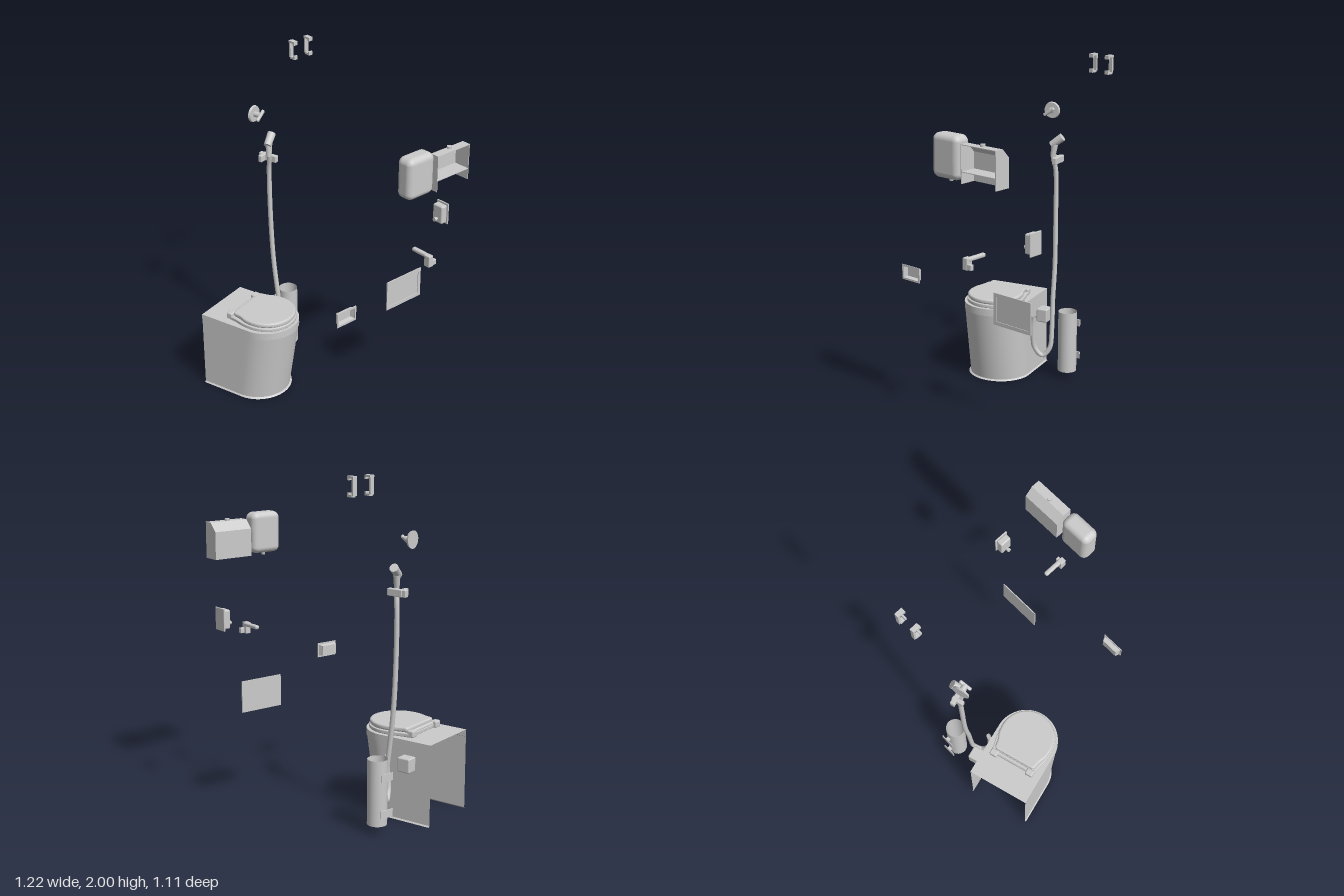
import * as THREE from 'three';
import { RoundedBoxGeometry } from 'three/addons/geometries/RoundedBoxGeometry.js';

const V = (x, y, z) => new THREE.Vector3(x, y, z);
const smooth = new THREE.MeshStandardMaterial({ color: 0xcccccc, side: THREE.DoubleSide });
const flat = new THREE.MeshStandardMaterial({ color: 0xcccccc, side: THREE.DoubleSide, flatShading: true });
const TILT = 0.27; // heading of the toilet and the wall behind it

function add(parent, name, geo, x = 0, y = 0, z = 0, mat = smooth, ry = 0) {
  const m = new THREE.Mesh(geo, mat);
  m.name = name;
  m.position.set(x, y, z);
  m.rotation.y = ry;
  parent.add(m);
  return m;
}
function part(parent, name) {
  const g = new THREE.Group();
  g.name = name;
  parent.add(g);
  return g;
}
// Box given by its limits
function box(parent, name, x0, x1, y0, y1, z0, z1, r = 0) {
  const s = [x1 - x0, y1 - y0, z1 - z0];
  const geo = r ? new RoundedBoxGeometry(...s, 4, r) : new THREE.BoxGeometry(...s);
  return add(parent, name, geo, (x0 + x1) / 2, (y0 + y1) / 2, (z0 + z1) / 2);
}
// Round bar between two points
function rod(parent, name, a, b, r0, r1 = r0, open = false) {
  const d = b.clone().sub(a);
  const m = add(parent, name, new THREE.CylinderGeometry(r1, r0, d.length(), 28, 1, open));
  m.position.copy(a).addScaledVector(d, 0.5);
  m.quaternion.setFromUnitVectors(V(0, 1, 0), d.normalize());
  return m;
}
// U-shaped plan: straight sides, round front at length L, half width w
function uPoint(t, L, w, a = 0.19) {
  if (t < 0.2) return [(L - a) * t / 0.2, -w];
  if (t > 0.8) return [(L - a) * (1 - t) / 0.2, w];
  const k = (t - 0.5) / 0.6 * Math.PI;
  return [L - a + a * Math.cos(k), w * Math.sin(k)];
}
// Sheet between two U plans, each [y, L, w]
function uBand(lo, hi) {
  const geo = new THREE.PlaneGeometry(1, 1, 60, 1);
  const p = geo.attributes.position;
  for (let i = 0; i < p.count; i++) {
    const [y, L, w] = p.getY(i) > 0 ? hi : lo;
    const [u, v] = uPoint(p.getX(i) + 0.5, L, w);
    p.setXYZ(i, u, y, v);
  }
  geo.computeVertexNormals();
  return geo;
}
// Seat outline: narrow back at u0, widest ahead of the middle, round front at u1
function seatShape(u0, u1, wb, w) {
  const s = new THREE.Shape(), c = 0.025, m = u1 - w;
  s.moveTo(u0 + c, -wb);
  s.bezierCurveTo(u0 + 0.09, -wb - 0.01, m - 0.08, -w, m, -w);
  s.absellipse(m, 0, w, w, -Math.PI / 2, Math.PI / 2, false);
  s.bezierCurveTo(m - 0.08, w, u0 + 0.09, wb + 0.01, u0 + c, wb);
  s.quadraticCurveTo(u0, wb, u0, wb - c);
  s.lineTo(u0, -wb + c);
  s.quadraticCurveTo(u0, -wb, u0 + c, -wb);
  return s;
}
function slab(shape, h, bevel) {
  const geo = new THREE.ExtrudeGeometry(shape, {
    depth: h - 2 * bevel, bevelThickness: bevel, bevelSize: bevel, bevelOffset: -bevel, bevelSegments: 4, curveSegments: 32,
  });
  return geo.rotateX(-Math.PI / 2).translate(0, bevel, 0);
}
const poly = (pts) => new THREE.Shape(pts.map(([x, y]) => new THREE.Vector2(x, y)));
// Flat rectangular frame facing +x
function frameGeo(w, h, iw, ih, t) {
  const rect = (a, b) => [[-a / 2, -b / 2], [a / 2, -b / 2], [a / 2, b / 2], [-a / 2, b / 2]];
  const s = poly(rect(w, h));
  s.holes.push(poly(rect(iw, ih)));
  return new THREE.ExtrudeGeometry(s, { depth: t, bevelEnabled: false }).rotateY(Math.PI / 2);
}

function buildToilet(root) {
  const g = part(root, 'toilet');
  g.position.set(-0.561, 0, 0.368);
  g.rotation.y = TILT;
  add(g, 'pedestalSkirt', uBand([0.008, 0.455, 0.188], [0.44, 0.525, 0.188]));
  add(g, 'footLip', uBand([0, 0.465, 0.196], [0.008, 0.455, 0.188]));
  add(g, 'rimBand', uBand([0.44, 0.528, 0.19], [0.483, 0.528, 0.19]));
  const deck = poly(Array.from({ length: 61 }, (_, i) => uPoint(i / 60, 0.528, 0.19)));
  add(g, 'topDeck', new THREE.ShapeGeometry(deck).rotateX(-Math.PI / 2), 0, 0.483, 0);
  const bowl = add(g, 'bowlUnderside', new THREE.SphereGeometry(0.13, 32, 16, 0, Math.PI * 2, Math.PI / 2, Math.PI / 2), 0.29, 0.47, 0);
  bowl.scale.y = 3.1;
  add(g, 'seat', slab(seatShape(0.165, 0.515, 0.148, 0.172), 0.022, 0.005), 0, 0.485, 0);
  add(g, 'lid', slab(seatShape(0.19, 0.51, 0.138, 0.166), 0.03, 0.011), 0, 0.506, 0);
  for (const s of [-1, 1]) box(g, 'hingeBlock', 0.148, 0.188, 0.485, 0.525, s * 0.122 - 0.024, s * 0.122 + 0.024, 0.008);
  rod(g, 'hingeBar', V(0.178, 0.51, -0.1), V(0.178, 0.51, 0.1), 0.011);
}

function buildShower(root) {
  const g = part(root, 'handShower');
  const path = [[-0.478, 1.37, 0.035], [-0.494, 1.28, 0.028], [-0.495, 1, 0.026], [-0.485, 0.7, 0.02], [-0.462, 0.48, 0.014],
    [-0.445, 0.3, 0.005], [-0.432, 0.18, 0.01], [-0.405, 0.13, 0.045], [-0.375, 0.18, 0.082], [-0.36, 0.3, 0.086], [-0.362, 0.385, 0.078]];
  const curve = new THREE.CatmullRomCurve3(path.map((p) => V(...p)));
  add(g, 'hose', new THREE.TubeGeometry(curve, 120, 0.0145, 12));
  rod(g, 'handle', V(-0.478, 1.37, 0.04), V(-0.488, 1.46, 0.03), 0.015, 0.021);
  rod(g, 'sprayHead', V(-0.478, 1.44, 0.05), V(-0.508, 1.49, -0.008), 0.022, 0.025);
  add(g, 'holderBar', new RoundedBoxGeometry(0.12, 0.042, 0.028, 3, 0.005), -0.505, 1.35, 0.022, smooth, TILT);
  add(g, 'holderClamp', new RoundedBoxGeometry(0.025, 0.042, 0.07, 3, 0.005), -0.525, 1.35, 0.045, smooth, TILT);
  // Outlet box beside the toilet
  add(g, 'outletBox', new RoundedBoxGeometry(0.08, 0.085, 0.07, 3, 0.008), -0.495, 0.36, 0.11, smooth, TILT);

  // Round mixer plate with a slanted lever
  const v = part(root, 'showerValve');
  v.position.set(-0.54, 1.635, 0.098);
  v.rotation.y = TILT;
  rod(v, 'valvePlate', V(0, 0, 0), V(0.012, 0, 0), 0.05, 0.046);
  rod(v, 'valveStem', V(0.01, 0, 0), V(0.05, 0, 0), 0.016);
  const lever = add(v, 'valveLever', new RoundedBoxGeometry(0.018, 0.02, 0.08, 3, 0.007), 0.05, -0.003, 0);
  lever.rotation.x = 0.6;
}

function buildBrushHolder(root) {
  const g = part(root, 'brushHolder');
  rod(g, 'tube', V(-0.481, 0.05, -0.089), V(-0.481, 0.43, -0.089), 0.057, 0.057, true);
  rod(g, 'tubeBase', V(-0.481, 0.05, -0.089), V(-0.481, 0.056, -0.089), 0.056);
  for (const y of [0.13, 0.34]) {
    box(g, 'wallPlate', -0.56, -0.554, y - 0.022, y + 0.022, -0.125, -0.042);
    box(g, 'wallStem', -0.555, -0.53, y - 0.015, y + 0.015, -0.1, -0.078);
  }
}

function buildHooks(root) {
  for (const z of [-0.205, -0.318]) {
    const g = part(root, 'coatHook');
    const b = (n, x0, x1, y0, y1, w) => box(g, n, x0, x1, y0, y1, z - w, z + w);
    b('hookPlate', -0.562, -0.55, 1.9, 1.99, 0.012);
    b('hookUpperArm', -0.562, -0.518, 1.988, 2, 0.014);
    b('hookUpperTip', -0.526, -0.514, 1.978, 2, 0.014);
    b('hookLowerArm', -0.552, -0.518, 1.892, 1.904, 0.013);
    b('hookLowerTip', -0.526, -0.514, 1.892, 1.914, 0.013);
  }
}

function buildDispensers(root) {
  // Rounded soap dispenser, bulging towards its middle
  const s = part(root, 'soapDispenser');
  const geo = new RoundedBoxGeometry(0.104, 0.24, 0.184, 8, 0.034);
  const p = geo.attributes.position;
  for (let i = 0; i < p.count; i++) {
    const k = 1 - (p.getY(i) / 0.12) ** 2;
    p.setZ(i, p.getZ(i) * (1 + 0.08 * k));
  }
  geo.computeVertexNormals();
  add(s, 'soapBody', geo, 0.553, 1.571, -0.125);
  rod(s, 'soapNozzle', V(0.55, 1.435, -0.125), V(0.55, 1.455, -0.125), 0.01, 0.014);

  // Towel dispenser: folded cover, open to the wall and below
  const t = part(root, 'towelDispenser');
  const cover = poly([[0.6, 1.655], [0.547, 1.655], [0.5, 1.605], [0.5, 1.445], [0.504, 1.445], [0.504, 1.603], [0.549, 1.651], [0.6, 1.651]]);
  const end = poly([[0.6, 1.655], [0.547, 1.655], [0.5, 1.605], [0.5, 1.445], [0.6, 1.445]]);
  const ext = (sh, d) => new THREE.ExtrudeGeometry(sh, { depth: d, bevelEnabled: false });
  add(t, 'cover', ext(cover, 0.242), 0, 0, -0.485);
  for (const z of [-0.487, -0.246]) add(t, 'coverEnd', ext(end, 0.004), 0, 0, z);
  box(t, 'shelf', 0.503, 0.6, 1.508, 1.512, -0.484, -0.245);
  rod(t, 'lockKnob', V(0.563, 1.65, -0.365), V(0.563, 1.668, -0.365), 0.014);

  // Small dispenser on the rear wall
  const d = part(root, 'gelDispenser');
  box(d, 'gelPlate', 0.32, 0.41, 1.065, 1.197, -0.556, -0.547, 0.004);
  box(d, 'gelBody', 0.328, 0.402, 1.075, 1.187, -0.55, -0.506, 0.01);
  rod(d, 'gelNozzle', V(0.366, 1.103, -0.508), V(0.366, 1.103, -0.49), 0.008);
  rod(d, 'gelButton', V(0.366, 1.103, -0.494), V(0.366, 1.103, -0.482), 0.012);
}

function buildWallFittings(root) {
  // Roll holder with a single arm
  const r = part(root, 'rollHolder');
  box(r, 'rollMount', 0.54, 0.58, 0.972, 1.04, -0.262, -0.228, 0.004);
  box(r, 'rollArm', 0.432, 0.565, 1.016, 1.04, -0.265, -0.237, 0.01);
  box(r, 'rollClip', 0.555, 0.578, 0.975, 1.008, -0.288, -0.255, 0.004);

  // Thin framed panel
  const m = part(root, 'framedPanel');
  add(m, 'panelFrame', frameGeo(0.272, 0.186, 0.232, 0.144, 0.006), 0.29, 0.672, -0.326);
  box(m, 'panelSheet', 0.29, 0.292, 0.6, 0.744, -0.442, -0.21);

  // Recessed tray opening to the wall side
  const t = part(root, 'recessedTray');
  add(t, 'trayFlange', frameGeo(0.138, 0.088, 0.118, 0.066, 0.005), 0.465, 0.814, 0.284);
  const wall = new THREE.CylinderGeometry(Math.SQRT1_2, Math.SQRT1_2 * 0.85, 1, 4, 1, true);
  wall.rotateY(Math.PI / 4).rotateZ(-Math.PI / 2).scale(0.028, 0.07, 0.122);
  add(t, 'trayWalls', wall, 0.453, 0.814, 0.284, flat);
  box(t, 'trayBack', 0.438, 0.441, 0.785, 0.843, 0.233, 0.335);
}

export function createModel() {
  const root = new THREE.Group();
  root.name = 'washroomFittings';
  for (const build of [buildToilet, buildShower, buildBrushHolder, buildHooks, buildDispensers, buildWallFittings]) build(root);
  return root;
}
